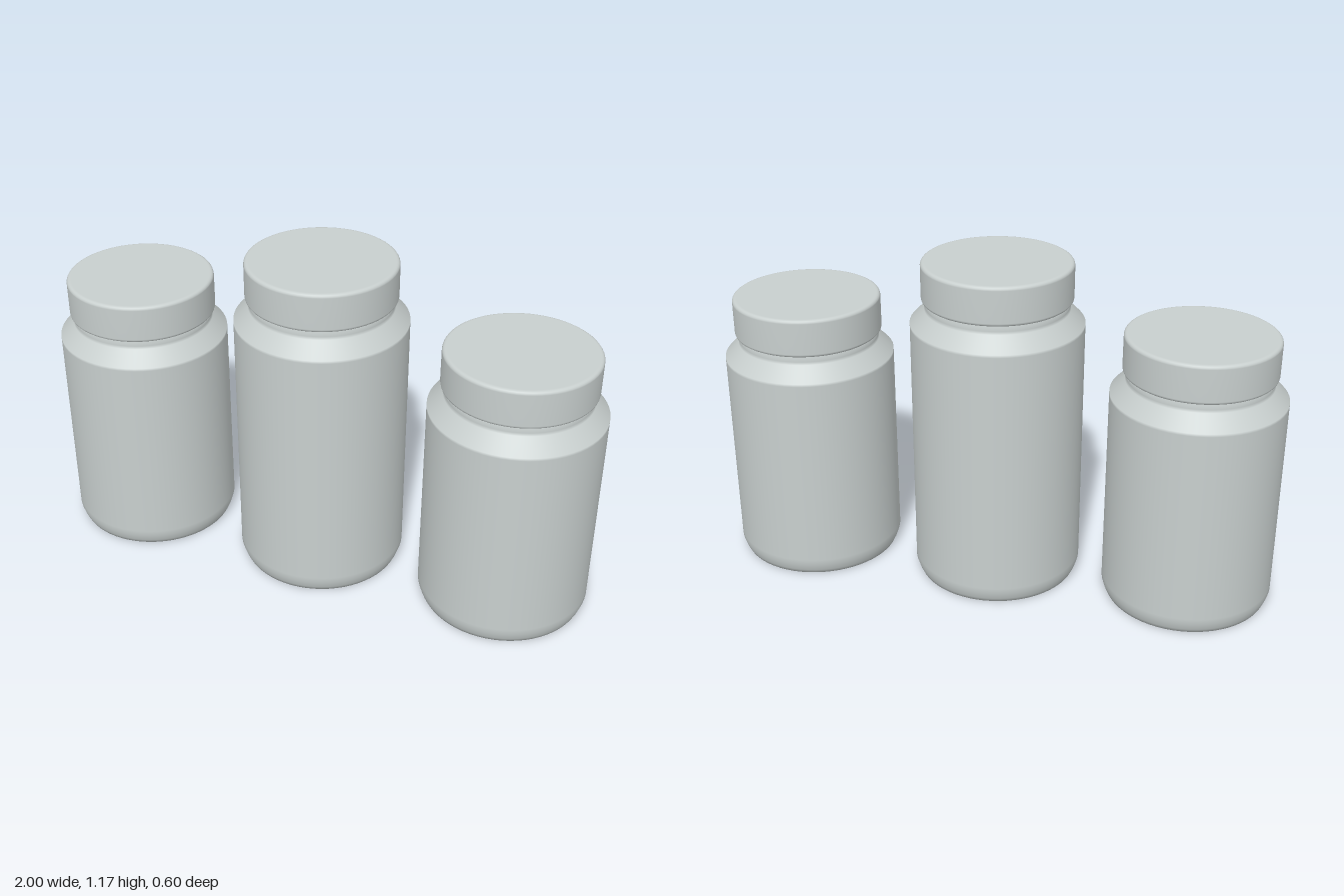
import * as THREE from 'three';

const SEGMENTS = 64;

const lathe = (profile) =>
  new THREE.LatheGeometry(profile.map(([r, y]) => new THREE.Vector2(r, y)), SEGMENTS);

// Body profile: chamfered foot, straight wall, sloped shoulder, narrow neck.
function bodyGeometry(shoulderY) {
  return lathe([
    [0, 0], [0.285, 0], [0.292, 0.015], [0.3, 0.04], [0.3, 0.06],
    [0.3, shoulderY - 0.01], [0.3, shoulderY], [0.25, shoulderY + 0.05],
    [0.247, shoulderY + 0.06], [0.247, shoulderY + 0.1], [0, shoulderY + 0.1],
  ]);
}

// Solid screw lid with softly rounded rims, standing on y = 0.
function lidGeometry() {
  const radius = 0.26, height = 0.136, bevel = 0.012;
  const points = [[0, 0], [radius - bevel - 0.004, 0]];
  for (let i = 0; i <= 4; i++) {
    const a = -Math.PI / 2 + (i / 4) * Math.PI / 2;
    points.push([radius - bevel + bevel * Math.cos(a), bevel + bevel * Math.sin(a)]);
  }
  for (let i = 0; i <= 4; i++) {
    const a = (i / 4) * Math.PI / 2;
    points.push([radius - bevel + bevel * Math.cos(a), height - bevel + bevel * Math.sin(a)]);
  }
  points.push([radius - bevel - 0.004, height], [0, height]);
  return lathe(points);
}

export function createModel() {
  const model = new THREE.Group();
  model.name = 'jarSet';

  const jarGrey = new THREE.MeshStandardMaterial({ color: 0xc8cfce });
  jarGrey.name = 'jar grey';

  const lidShape = lidGeometry();

  // A tall jar between two shorter ones.
  const jars = [
    ['rightJar', -0.7, 0.767],
    ['middleJar', 0, 0.957],
    ['leftJar', 0.7, 0.767],
  ];
  for (const [name, x, shoulderY] of jars) {
    const jar = new THREE.Group();
    jar.name = name;
    jar.position.x = x;

    const body = new THREE.Mesh(bodyGeometry(shoulderY), jarGrey);
    body.name = 'body';

    const lid = new THREE.Mesh(lidShape, jarGrey);
    lid.name = 'lid';
    lid.position.y = shoulderY + 0.08;

    jar.add(body, lid);
    model.add(jar);
  }
  return model;
}
